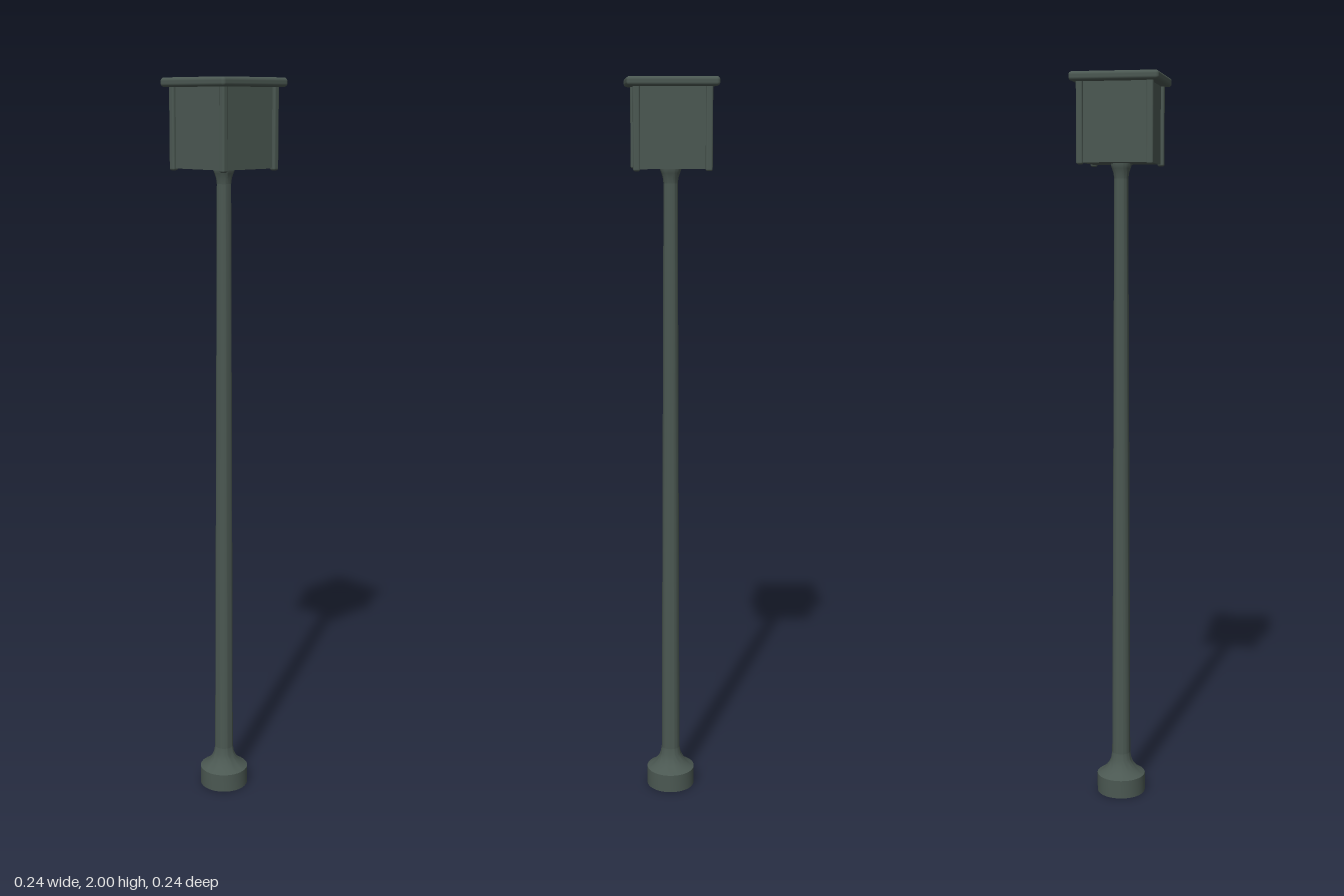
import * as THREE from 'three';
import { toCreasedNormals } from 'three/addons/utils/BufferGeometryUtils.js';
import { RoundedBoxGeometry } from 'three/addons/geometries/RoundedBoxGeometry.js';

export function createModel() {
  const model = new THREE.Group();
  model.name = 'lampPost';
  const paint = new THREE.MeshStandardMaterial({ color: 0x4b5852 });

  const add = (name, geometry, x = 0, y = 0, z = 0, parent = model) => {
    const mesh = new THREE.Mesh(geometry, paint);
    mesh.name = name;
    mesh.position.set(x, y, z);
    parent.add(mesh);
    return mesh;
  };
  const turned = (points) => toCreasedNormals(
    new THREE.LatheGeometry(points.map(([r, y]) => new THREE.Vector2(r, y)), 40), 0.6);

  // Round foot, flaring in a concave curve up to the pole
  add('base', turned([
    [0, 0], [0.068, 0], [0.068, 0.052], [0.055, 0.06], [0.044, 0.07],
    [0.035, 0.082], [0.029, 0.096], [0.026, 0.115],
  ]));

  // Slender tapering pole
  add('pole', turned([[0.026, 0.115], [0.019, 1.73]]));

  // Small flare under the lantern
  add('collar', turned([[0.019, 1.73], [0.021, 1.745], [0.025, 1.757], [0.028, 1.765], [0.028, 1.775]]));

  // Square lantern box with a rounded post at each corner
  const head = new THREE.Group();
  head.name = 'lanternHead';
  model.add(head);
  add('lanternBox', new THREE.BoxGeometry(0.186, 0.211, 0.186), 0, 1.8755, 0, head);
  for (const x of [-1, 1]) {
    for (const z of [-1, 1]) {
      add('cornerPost', new RoundedBoxGeometry(0.018, 0.22, 0.018, 3, 0.005), x * 0.093, 1.875, z * 0.093, head);
    }
  }

  // Overhanging flat roof with softened edges
  add('roof', new RoundedBoxGeometry(0.237, 0.024, 0.237, 4, 0.009), 0, 1.988, 0, head);

  return model;
}
